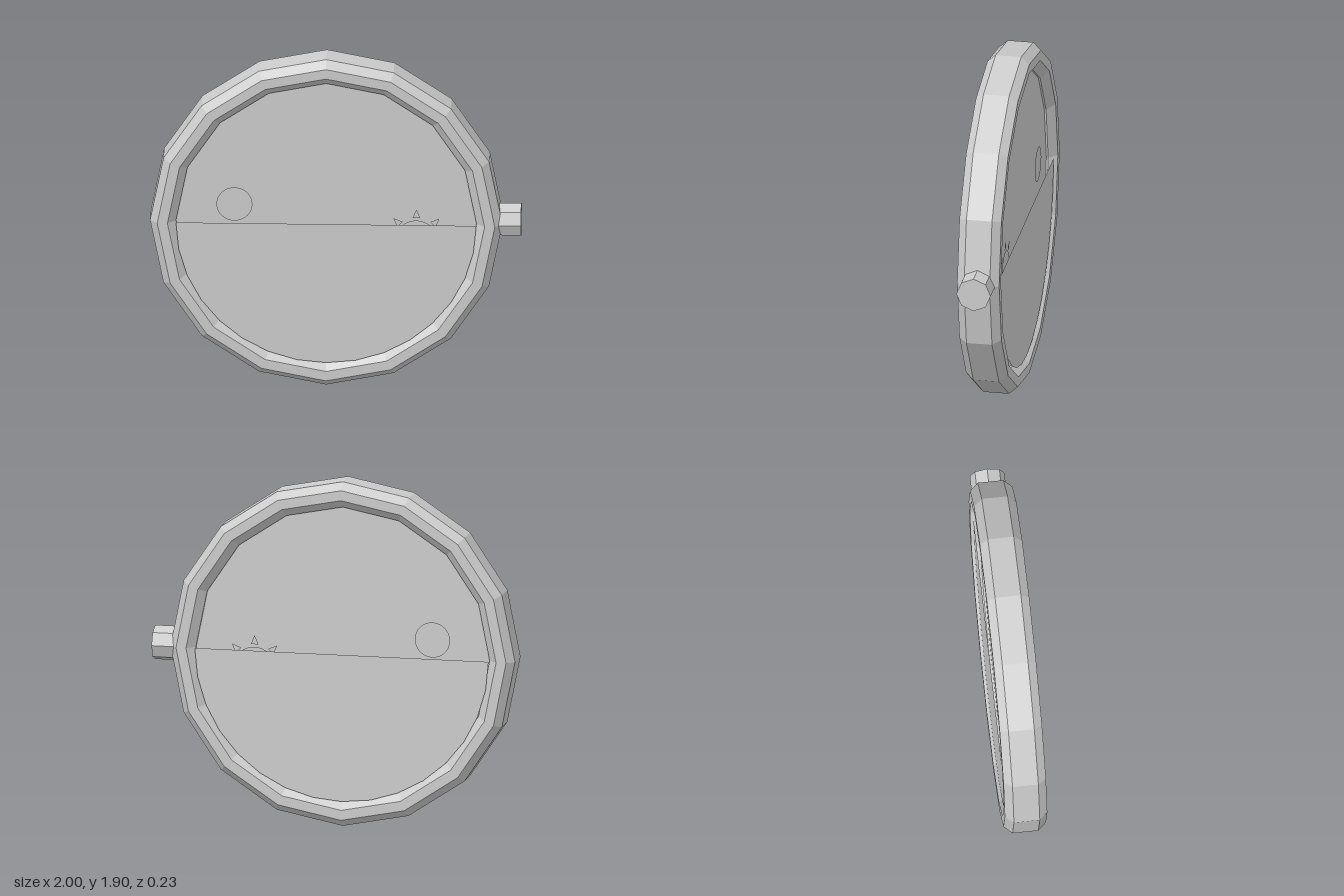
import * as THREE from 'three';

export function createModel() {
  const model = new THREE.Group();
  const gray = new THREE.MeshStandardMaterial({ color: 0xcccccc, flatShading: true });
  gray.name = 'gray';
  const CX = -0.05, CY = 0.95;

  const add = (name, geometry, x, y, z, parent = model) => {
    const mesh = new THREE.Mesh(geometry, gray);
    mesh.name = name;
    mesh.position.set(x, y, z);
    parent.add(mesh);
    return mesh;
  };

  // Sixteen-sided case ring with chamfered edges
  const profile = [
    [0.95, -0.07], [0.95, 0.07], [0.91, 0.115], [0.855, 0.115],
    [0.81, 0.07], [0.81, -0.07], [0.855, -0.115], [0.91, -0.115], [0.95, -0.07],
  ].map(([r, h]) => new THREE.Vector2(r, h));
  add('caseRing', new THREE.LatheGeometry(profile, 16).rotateX(Math.PI / 2), CX, CY, 0);

  // Winding knob on the side
  add('knob', new THREE.CylinderGeometry(0.094, 0.094, 0.16, 8).rotateZ(Math.PI / 2), 0.92, CY, 0);

  // Sun ray: a triangle pointing away from the sun's centre
  const rayShape = new THREE.Shape([
    new THREE.Vector2(-0.021, 0.126), new THREE.Vector2(0.021, 0.126), new THREE.Vector2(0, 0.176),
  ]);

  // The same dial on the front and the back
  for (const side of [1, -1]) {
    const dial = new THREE.Group();
    dial.name = side > 0 ? 'frontDial' : 'backDial';
    model.add(dial);
    const plate = (name, geometry, x, y, z) => {
      if (side < 0) geometry.rotateY(Math.PI);
      return add(name, geometry, x, y, z * side, dial);
    };
    plate('skyPlate', new THREE.CircleGeometry(0.81, 32), CX, CY, 0.06);
    plate('horizonPlate', new THREE.CircleGeometry(0.81, 16, Math.PI, Math.PI), CX, CY, 0.1);
    plate('moon', new THREE.CircleGeometry(0.097, 32), -0.545, 1.05, 0.072);
    plate('sun', new THREE.CircleGeometry(0.112, 32), 0.436, 0.854, 0.072);
    for (const turn of [-1, 0, 1]) {
      const ray = new THREE.ShapeGeometry(rayShape).rotateZ(turn * Math.PI / 4);
      plate('sunRay', ray, 0.436, 0.854, 0.072);
    }
  }
  return model;
}
